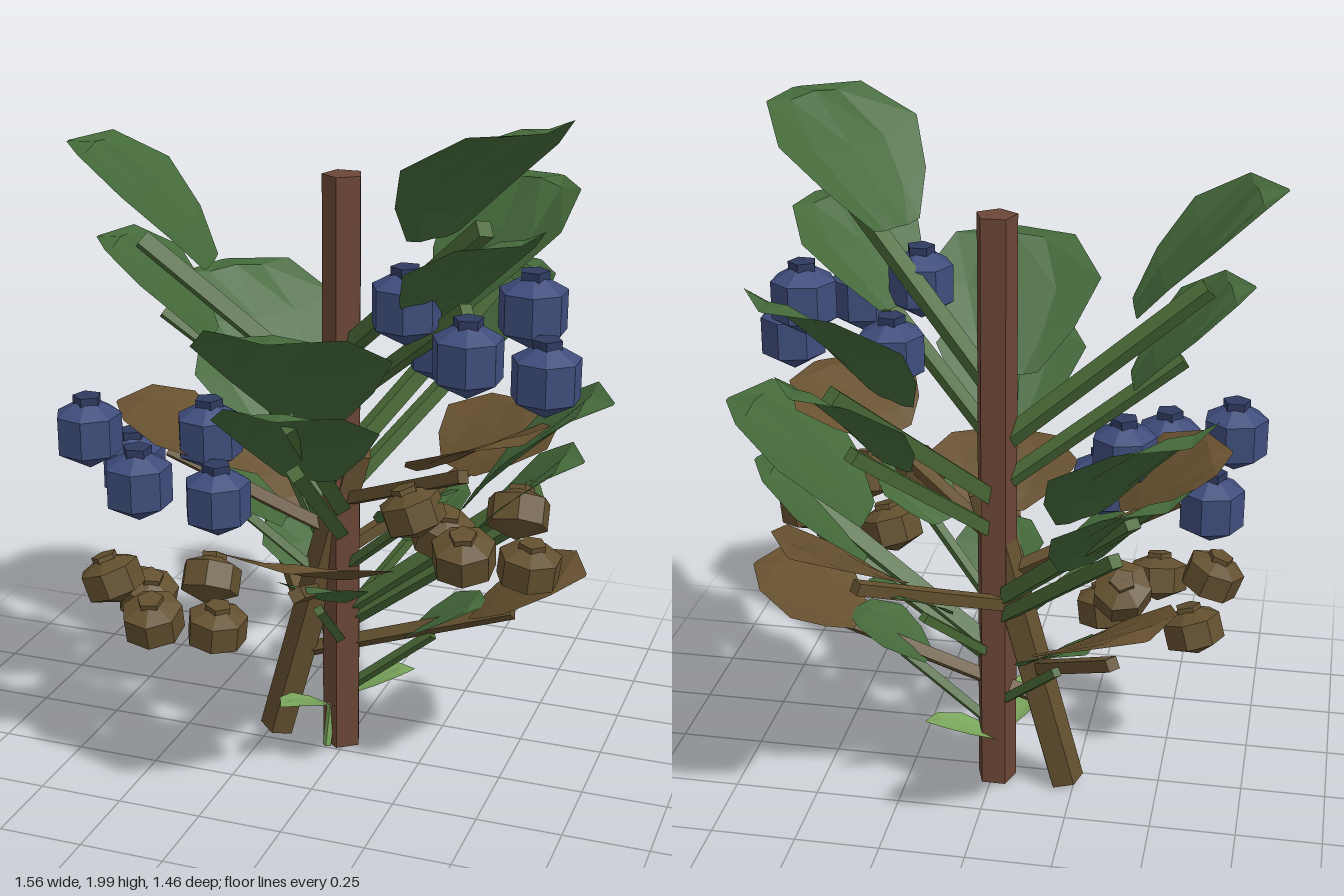
import * as THREE from 'three';

const mat = (color, thin) => new THREE.MeshStandardMaterial({
  color, flatShading: true, side: thin ? THREE.DoubleSide : THREE.FrontSide,
});
const V = (x, y, z) => new THREE.Vector3(x, y, z);
const AXIS = { x: -0.012, z: -0.06 };

// straight rod between two points
function rod(name, a, b, radius, sides, material) {
  const dir = b.clone().sub(a);
  const mesh = new THREE.Mesh(new THREE.CylinderGeometry(radius, radius, dir.length(), sides), material);
  mesh.position.copy(a).add(b).multiplyScalar(0.5);
  mesh.quaternion.setFromUnitVectors(V(0, 1, 0), dir.normalize());
  mesh.name = name;
  return mesh;
}

// arched, lightly pleated blade running along +x from r0 to r1, tip at y = 0
function bladeGeometry({ r0, r1, rise, width }) {
  // distance along, half width, height of the midrib, lift of the edges
  const stations = [
    [0, 0.34, 0, 0.02], [0.18, 0.72, 0.27, 0.09], [0.45, 1, 0.6, 0.13], [0.8, 0.68, 1.0, 0], [1, 0.04, 1, 0],
  ];
  const across = [-1, -0.5, 0, 0.5, 1];
  const pos = [], index = [];
  for (const [t, w, h, lift] of stations) {
    for (const s of across) {
      const pleat = s === 0 ? 0 : Math.abs(s) < 1 ? lift / 2 - 0.05 * w : lift;
      pos.push(r0 + (r1 - r0) * t, rise * (h - 1 + pleat), s * w * width / 2);
    }
  }
  const n = across.length;
  for (let i = 0; i < stations.length - 1; i++) {
    for (let j = 0; j < n - 1; j++) {
      const a = i * n + j, b = a + 1, c = a + n, d = c + 1;
      index.push(a, b, c, b, d, c);
    }
  }
  const g = new THREE.BufferGeometry();
  g.setAttribute('position', new THREE.Float32BufferAttribute(pos, 3));
  g.setIndex(index);
  g.computeVertexNormals();
  return g;
}

export function createModel() {
  const model = new THREE.Group();
  const bark = mat(0x6b4636), green = mat(0x44693a, true), stalkGreen = mat(0x4a6936);
  const dryLeaf = mat(0x66502f, true), dryWood = mat(0x63502f), berryBlue = mat(0x3f4d7c);
  const calyxBlue = mat(0x2f3a60), sprout = mat(0x7aa65c, true);

  // main stem and leaning dry stem
  model.add(rod('stem', V(AXIS.x, 0, AXIS.z), V(AXIS.x, 1.76, AXIS.z), 0.06, 5, bark));
  const leanX = (y) => -0.225 + 0.265 * y;
  model.add(rod('dryStem', V(leanX(0), 0.01, AXIS.z), V(leanX(0.95), 0.95, AXIS.z), 0.055, 5, dryWood));

  // spiral tiers of leaves, from the top down by the golden angle
  const tiers = [
    { name: 'largeLeaf', top: 1.99, step: 0.163, leaf: green, stalk: stalkGreen, shift: 0,
      r0: 0.38, r1: 0.785, rise: 0.34, width: 0.54,
      end: [0.58, -0.275], base: -0.745, thick: 0.032 },
    { name: 'middleLeaf', top: 1.695, step: 0.14, leaf: green, stalk: stalkGreen, shift: 0,
      r0: 0.38, r1: 0.71, rise: 0.28, width: 0.46,
      end: [0.52, -0.21], base: -0.6, thick: 0.027 },
    { name: 'smallLeaf', top: 0.92, step: 0.08, leaf: green, stalk: stalkGreen, shift: 0.015,
      r0: 0.19, r1: 0.43, rise: 0.13, width: 0.27,
      end: [0.28, -0.12], base: -0.35, thick: 0.018 },
    { name: 'dryLeaf', top: 1.165, step: 0.102, leaf: dryLeaf, stalk: dryWood, shift: 0.03, lean: true,
      r0: 0.38, r1: 0.7, rise: 0.15, width: 0.49,
      end: [0.52, -0.145], base: -0.375, thick: 0.025 },
  ];
  for (const tier of tiers) {
    const geometry = bladeGeometry(tier);
    for (let i = 0; i < 6; i++) {
      const angle = (32 + 137.5 * i) * Math.PI / 180;
      const y = tier.top - tier.step * i;
      const blade = new THREE.Mesh(geometry, tier.leaf);
      blade.position.set(AXIS.x + tier.shift, y, AXIS.z);
      blade.rotation.y = -angle;
      blade.name = tier.name;
      const [r, dy] = tier.end;
      const start = V(tier.lean ? leanX(y + tier.base) : AXIS.x, y + tier.base, AXIS.z);
      const end = V(AXIS.x + r * Math.cos(angle), y + dy, AXIS.z + r * Math.sin(angle));
      model.add(blade, rod(tier.name + 'Stalk', start, end, tier.thick, 4, tier.stalk));
    }
  }

  // seedling with a pair of pale leaves
  model.add(rod('seedlingStem', V(-0.045, 0, -0.01), V(-0.035, 0.18, -0.04), 0.014, 5, sprout));
  const sproutGeometry = bladeGeometry({ r0: 0.01, r1: 0.23, rise: 0.08, width: 0.13 });
  for (const [angle, x, z] of [[-22, -0.03, -0.075], [110, -0.03, -0.01]]) {
    const leaf = new THREE.Mesh(sproutGeometry, sprout);
    leaf.position.set(x, 0.225, z);
    leaf.rotation.y = -angle * Math.PI / 180;
    leaf.name = 'seedlingLeaf';
    model.add(leaf);
  }

  // fruit clusters, fresh and dried, sharing one arrangement
  const layout = [[-0.19, 0.09, 0.045], [0.015, 0, 0.16], [0.12, 0.07, -0.1], [0.19, -0.08, 0.015], [-0.14, -0.065, -0.13]];
  const body = new THREE.SphereGeometry(0.11, 7, 3);
  const calyx = new THREE.CylinderGeometry(0.042, 0.042, 0.03, 5);
  const cluster = (name, center, skin, crownMat, size, squash, spread, tilt) => {
    const group = new THREE.Group();
    group.name = name;
    group.position.copy(center);
    layout.forEach(([x, y, z], i) => {
      const fruit = new THREE.Group();
      const flesh = new THREE.Mesh(body, skin);
      const cap = new THREE.Mesh(calyx, crownMat);
      flesh.name = 'fruit';
      cap.name = 'fruitCrown';
      cap.position.y = 0.094;
      fruit.add(flesh, cap);
      fruit.position.set(x * Math.sqrt(spread), y * spread, z * Math.sqrt(spread));
      fruit.scale.set(size, size * squash, size);
      fruit.rotation.set(tilt * Math.sin(i * 2.1), i * 0.9, tilt * Math.cos(i * 1.7));
      group.add(fruit);
    });
    model.add(group);
  };
  cluster('leftBerries', V(0.445, 1.385, 0.15), berryBlue, calyxBlue, 1, 1, 1, 0);
  cluster('rightBerries', V(-0.475, 0.945, 0.22), berryBlue, calyxBlue, 1, 1, 1, 0);
  cluster('leftDryBerries', V(0.44, 0.815, 0.14), dryWood, dryWood, 0.93, 0.75, 0.75, 0.35);
  cluster('rightDryBerries', V(-0.46, 0.515, 0.21), dryWood, dryWood, 0.93, 0.75, 0.7, 0.35);

  return model;
}
